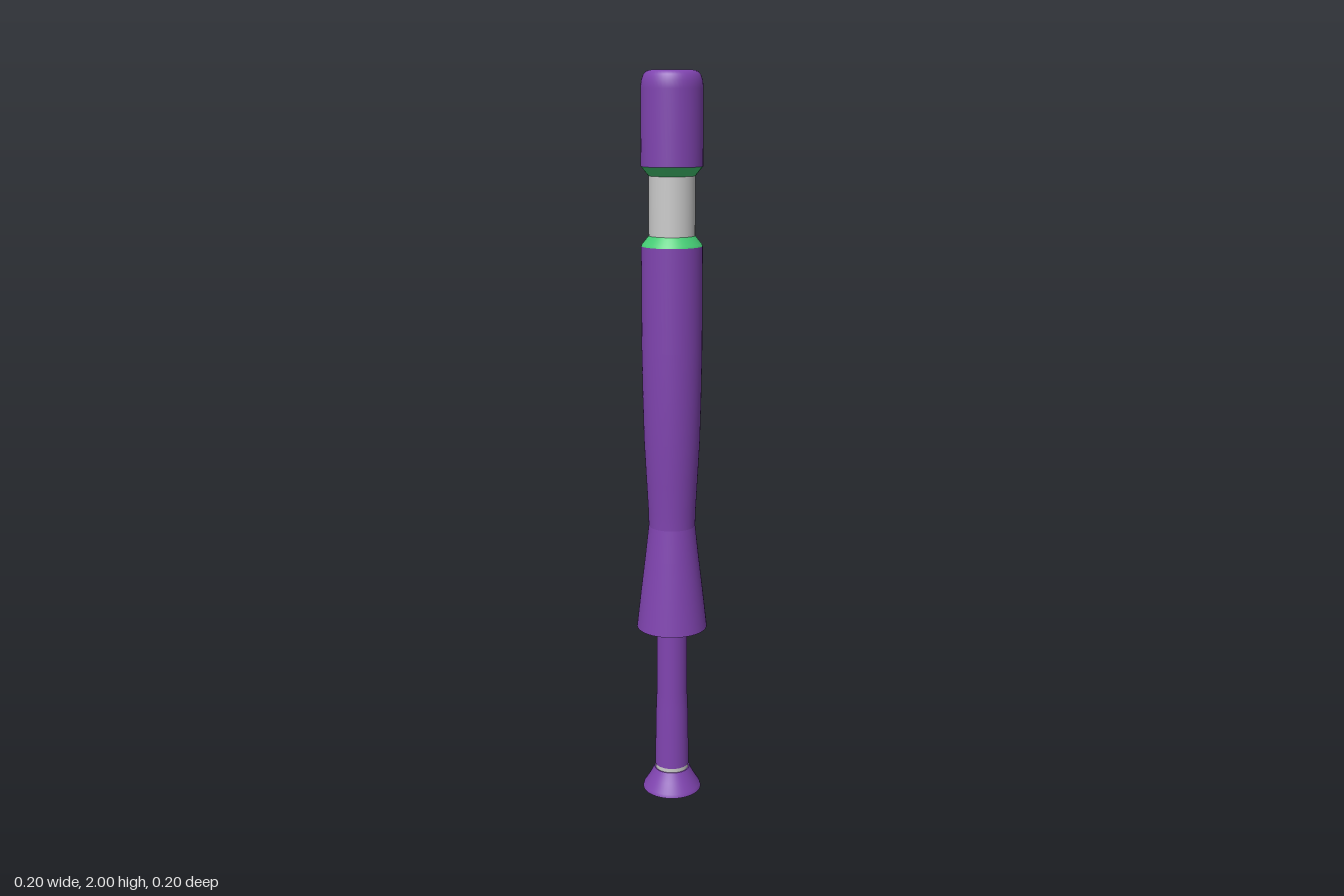
import * as THREE from 'three';
import { mergeGeometries } from 'three/addons/utils/BufferGeometryUtils.js';

const SEGMENTS = 48;
const PURPLE = 0x8044b0, GREEN = 0x45cc75, GREY = 0xcccccc;

// Turned part: each section is a smooth run of [radius, y]; edges between sections stay sharp.
// Runs going up face outwards, runs going down face inwards.
function turned(name, color, ...sections) {
  const parts = sections.map(points =>
    new THREE.LatheGeometry(points.map(([r, y]) => new THREE.Vector2(r, y)), SEGMENTS));
  const mesh = new THREE.Mesh(mergeGeometries(parts), new THREE.MeshStandardMaterial({ color }));
  mesh.name = name;
  return mesh;
}

export function createModel() {
  const model = new THREE.Group();
  model.name = 'turnedHandle';

  model.add(
    // flared foot, hollowed underneath
    turned('foot', PURPLE,
      [[0, 0.04], [0.04, 0.03], [0.083, 0]],
      [[0.083, 0], [0.08, 0.01], [0.064, 0.035], [0.05, 0.062]],
      [[0.05, 0.062], [0, 0.062]]),
    turned('footRing', GREY, [[0.047, 0.06], [0.047, 0.076]]),

    // thin stem, slightly thicker towards the foot, running up into the skirt
    turned('stem', PURPLE,
      [[0.048, 0.074], [0.047, 0.14], [0.045, 0.25], [0.043, 0.3], [0.043, 0.85]]),

    // main grip with a waist and a flared hollow skirt
    turned('grip', PURPLE,
      [[0.098, 0.495], [0.086, 0.6], [0.074, 0.7], [0.064, 0.79]],
      [[0.064, 0.79], [0.065, 0.83], [0.07, 0.92], [0.076, 1.03], [0.079, 1.15], [0.081, 1.28], [0.081, 1.555]]),
    turned('skirtLining', GREY,
      [[0.061, 0.8], [0.072, 0.7], [0.084, 0.6], [0.097, 0.495]],
      [[0.097, 0.495], [0.098, 0.495]]),

    // neck between two green bevels
    turned('lowerBevel', GREEN, [[0.081, 1.555], [0.079, 1.56], [0.061, 1.582]]),
    turned('neck', GREY, [[0.061, 1.58], [0.061, 1.738]]),
    turned('upperBevel', GREEN, [[0.061, 1.736], [0.081, 1.76]]),

    // rounded end cap with a round socket in its top
    turned('cap', PURPLE,
      [[0.081, 1.76], [0.081, 1.955], [0.079, 1.975], [0.074, 1.989], [0.067, 1.997], [0.059, 2]],
      [[0.059, 2], [0.059, 1.93]],
      [[0.059, 1.93], [0, 1.93]])
  );
  return model;
}
